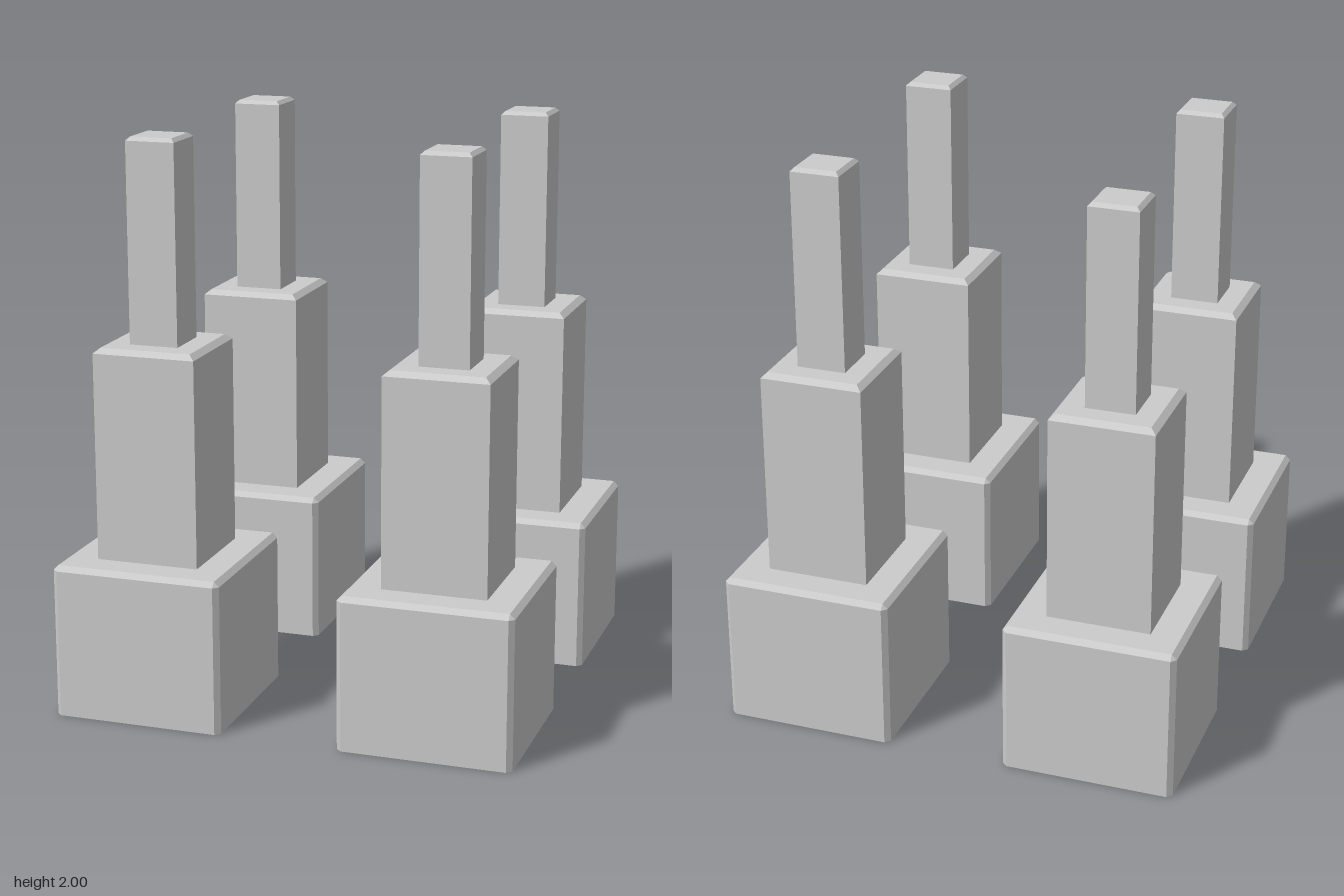
import * as THREE from 'three';
import { ConvexGeometry } from 'three/addons/geometries/ConvexGeometry.js';

const material = new THREE.MeshStandardMaterial({ color: 0xcccccc, flatShading: true });

// Square block with a bevelled top rim; corner > 0 also chamfers the upright edges
function bevelledBlock(half, bottom, top, inset, drop, corner) {
  const points = [];
  const cut = half - corner;
  for (const sx of [-1, 1]) {
    for (const sz of [-1, 1]) {
      for (const y of [bottom, top - drop]) {
        points.push(new THREE.Vector3(sx * half, y, sz * cut));
        if (corner > 0) points.push(new THREE.Vector3(sx * cut, y, sz * half));
      }
      points.push(new THREE.Vector3(sx * (half - inset), top, sz * (half - inset)));
    }
  }
  return new ConvexGeometry(points);
}

// The three stacked tiers of one tower
const tiers = [
  { name: 'base', geometry: bevelledBlock(0.304, 0, 0.544, 0.018, 0.018, 0.018) },
  { name: 'middleTier', geometry: bevelledBlock(0.183, 0.544, 1.291, 0.021, 0.018, 0) },
  { name: 'spire', geometry: bevelledBlock(0.087, 1.291, 2, 0.013, 0.013, 0) },
];

function createTower(name) {
  const tower = new THREE.Group();
  tower.name = name;
  for (const { name: part, geometry } of tiers) {
    const mesh = new THREE.Mesh(geometry, material);
    mesh.name = part;
    tower.add(mesh);
  }
  return tower;
}

export function createModel() {
  const model = new THREE.Group();
  model.name = 'fourTowers';
  const offset = 0.512;
  // One tower at each corner of a square
  for (const [front, sz] of [['front', 1], ['back', -1]]) {
    for (const [side, sx] of [['Left', 1], ['Right', -1]]) {
      const tower = createTower(`${front}${side}Tower`);
      tower.position.set(sx * offset, 0, sz * offset);
      model.add(tower);
    }
  }
  return model;
}
